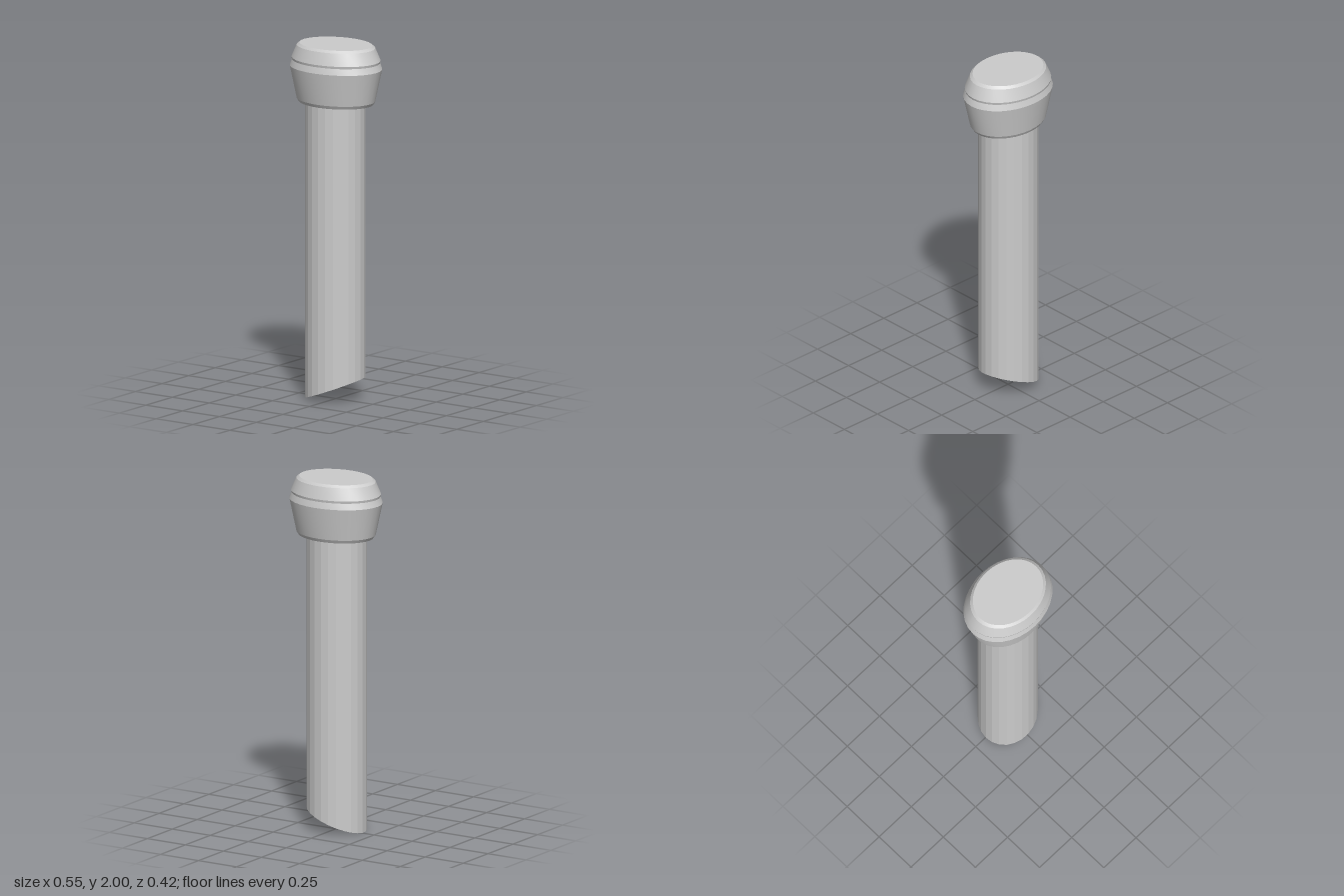
import * as THREE from 'three';
import { toCreasedNormals } from 'three/addons/utils/BufferGeometryUtils.js';

export function createModel() {
  const group = new THREE.Group();

  // Oval shaft with a slanted cut at the foot
  const shaftGeo = new THREE.CylinderGeometry(1, 1, 1, 24);
  shaftGeo.scale(0.17, 1, 0.161);
  shaftGeo.translate(-0.004, 0, 0.002);
  const p = shaftGeo.attributes.position;
  for (let i = 0; i < p.count; i++) {
    const foot = 0.066 + 0.37 * p.getX(i) - 0.08 * p.getZ(i);
    p.setY(i, p.getY(i) > 0 ? 1.68 : Math.max(0, foot));
  }
  const shaft = new THREE.Mesh(shaftGeo, new THREE.MeshStandardMaterial({ color: 0xcccccc, flatShading: true }));
  shaft.name = 'shaft';
  group.add(shaft);

  // Oval cap: flared skirt, shoulder, shallow groove and bevelled top
  const profile = [
    [0, 1.67], [0.222, 1.67], [0.234, 1.688], [0.275, 1.87], [0.262, 1.905],
    [0.265, 1.918], [0.234, 1.987], [0.217, 2], [0, 2],
  ].map(([r, y]) => new THREE.Vector2(r, y));
  const capGeo = new THREE.LatheGeometry(profile, 32);
  capGeo.scale(1, 1, 0.77);
  const cap = new THREE.Mesh(toCreasedNormals(capGeo, 0.3), new THREE.MeshStandardMaterial({ color: 0xcccccc }));
  cap.name = 'cap';
  group.add(cap);

  return group;
}
